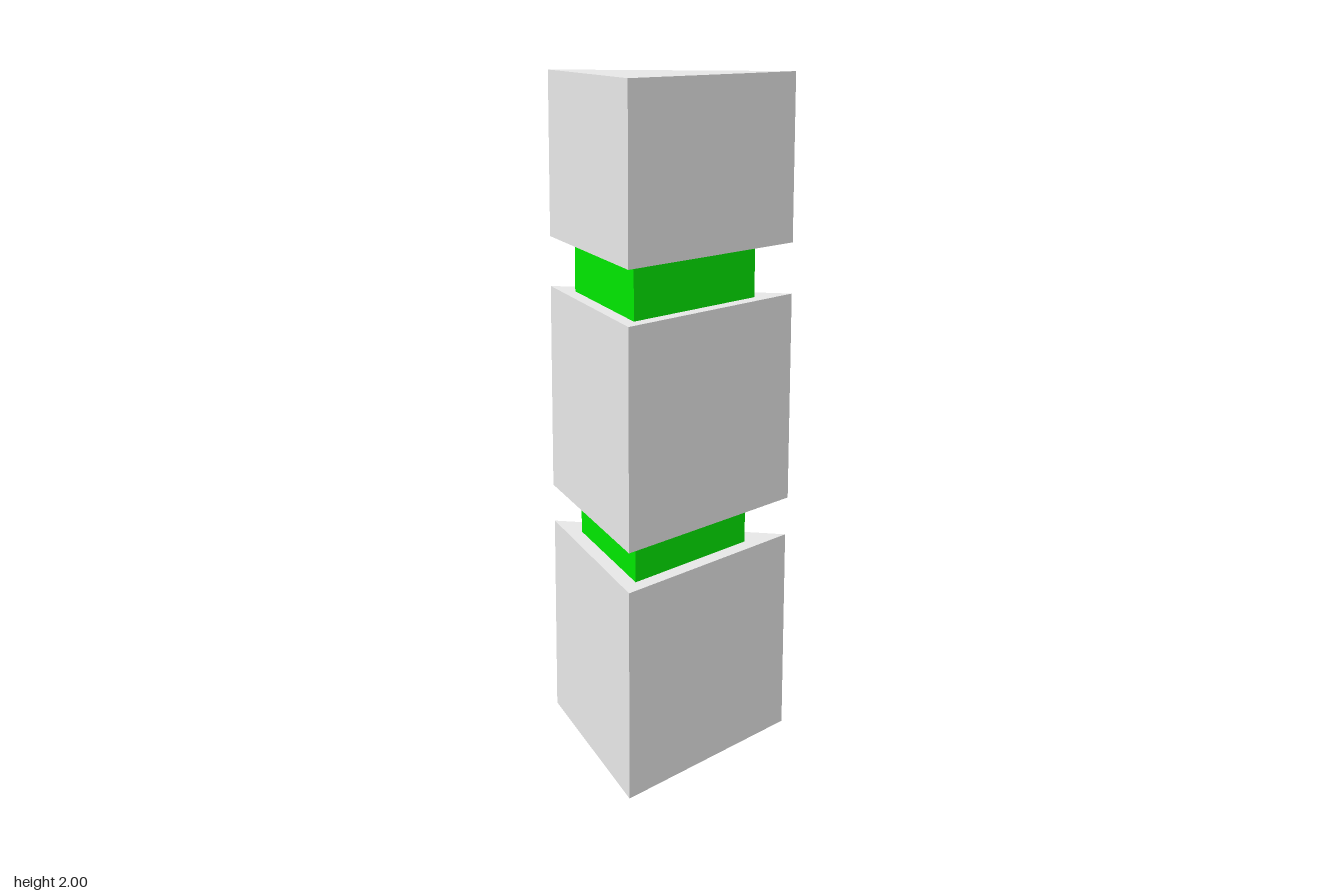
import * as THREE from 'three';

// Upright triangular prism; plan is three [x, z] corners
function prism(name, plan, y0, y1, material) {
  const shape = new THREE.Shape(plan.map(([x, z]) => new THREE.Vector2(x, -z)));
  const geometry = new THREE.ExtrudeGeometry(shape, { depth: y1 - y0, bevelEnabled: false });
  geometry.rotateX(-Math.PI / 2);
  geometry.translate(0, y0, 0);
  const mesh = new THREE.Mesh(geometry, material);
  mesh.name = name;
  return mesh;
}

export function createModel() {
  const grey = new THREE.MeshStandardMaterial({ name: 'lightGrey', color: 0xe6e6e6 });
  const green = new THREE.MeshStandardMaterial({ name: 'green', color: 0x00e600 });

  // Plans: left back, front point, right back
  const blockPlan = [[-0.368, -0.32], [0.013, 0.321], [0.368, -0.322]];
  const lowerBlockPlan = [[-0.364, -0.317], [0.012, 0.317], [0.363, -0.317]];
  const upperNeckPlan = [[-0.27, -0.235], [0.01, 0.238], [0.269, -0.235]];
  const lowerNeckPlan = [[-0.253, -0.22], [0.01, 0.221], [0.252, -0.22]];

  const model = new THREE.Group();
  model.name = 'triangularPillar';
  model.add(
    // Grey blocks
    prism('lowerBlock', lowerBlockPlan, 0, 0.612, grey),
    prism('middleBlock', blockPlan, 0.728, 1.355, grey),
    prism('upperBlock', blockPlan, 1.507, 2, grey),
    // Recessed green necks between the blocks
    prism('lowerNeck', lowerNeckPlan, 0.612, 0.728, green),
    prism('upperNeck', upperNeckPlan, 1.355, 1.507, green),
  );
  return model;
}
